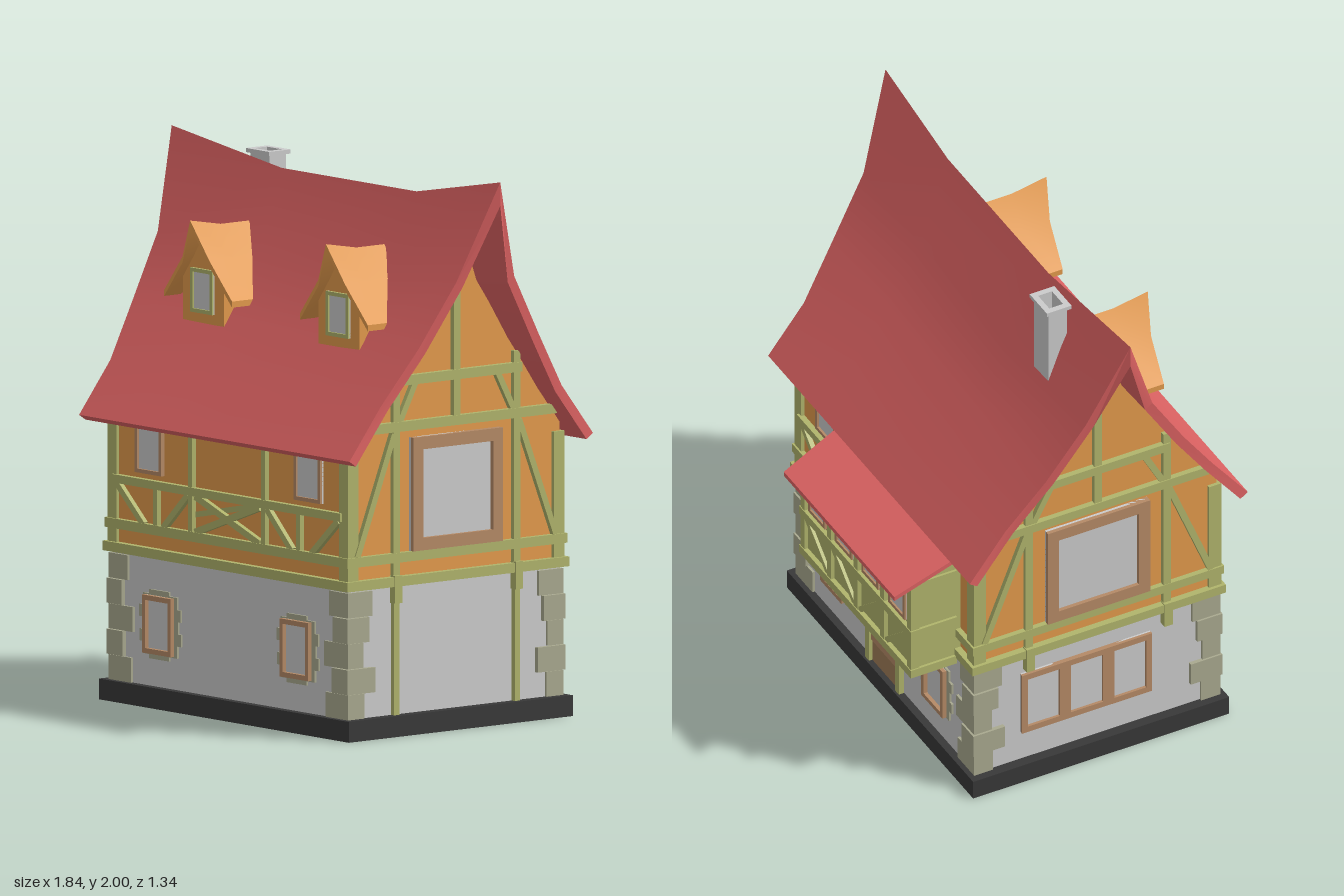
import * as THREE from 'three';
import { toCreasedNormals } from 'three/addons/utils/BufferGeometryUtils.js';
import { ConvexGeometry } from 'three/addons/geometries/ConvexGeometry.js';

const mat = (color, extra = {}) => new THREE.MeshStandardMaterial({ color, ...extra });
const M = {
  grey: mat(0xcccccc), roof: mat(0xe06464), plaster: mat(0xe39a4c), timber: mat(0xb0b46c),
  quoin: mat(0xa9a98f), frame: mat(0xb58a66), door: mat(0xa07c58), base: mat(0x383838),
  dormerRoof: mat(0xe39a4c, { side: THREE.DoubleSide }),
};

function add(parent, name, geometry, material) {
  const m = new THREE.Mesh(geometry, material);
  m.name = name;
  parent.add(m);
  return m;
}

// Box given by its limits on each axis
function block(parent, name, material, x0, x1, y0, y1, z0, z1) {
  const m = add(parent, name, new THREE.BoxGeometry(Math.abs(x1 - x0), y1 - y0, z1 - z0), material);
  m.position.set((x0 + x1) / 2, (y0 + y1) / 2, (z0 + z1) / 2);
  return m;
}

// Timber on a wall, from one point to another in the wall plane
function beam(wall, x0, y0, x1, y1, width = 0.03, out = 0.018, name = 'timber') {
  const len = Math.hypot(x1 - x0, y1 - y0);
  const m = add(wall, name, new THREE.BoxGeometry(len, width, out + 0.02), M.timber);
  m.position.set((x0 + x1) / 2, (y0 + y1) / 2, (out - 0.02) / 2);
  m.rotation.z = Math.atan2(y1 - y0, x1 - x0);
}

// Four framing bars around a pane
function windowUnit(wall, cx, y0, y1, w, bar, out = 0.015, material = M.frame) {
  const g = new THREE.Group();
  g.name = 'window';
  wall.add(g);
  const h = w / 2;
  block(g, 'pane', M.grey, cx - h, cx + h, y0, y1, -0.02, out * 0.4);
  for (const s of [-1, 1]) {
    block(g, 'jamb', material, cx + s * h, cx + s * (h - bar), y0, y1, -0.02, out);
    const y = s < 0 ? y0 : y1 - bar;
    block(g, 'rail', material, cx - h + bar, cx + h - bar, y, y + bar, -0.02, out);
  }
}

// Ground-floor window with uneven stones around it
function stoneWindow(wall, cx) {
  const reach = [0.095, 0.115, 0.1, 0.118, 0.096];
  reach.forEach((r, i) => {
    const y = 0.19 + i * 0.044;
    block(wall, 'windowStone', M.quoin, cx - r, cx + reach[4 - i], y, y + 0.044, -0.02, 0.008);
  });
  block(wall, 'windowStone', M.quoin, cx - 0.06, cx + 0.05, 0.175, 0.425, -0.02, 0.008);
  windowUnit(wall, cx, 0.195, 0.405, 0.16, 0.018, 0.025);
}

// Group whose local z points out of a wall
function wallGroup(parent, name, x, z, turn) {
  const g = new THREE.Group();
  g.name = name;
  g.position.set(x, 0, z);
  g.rotation.y = turn;
  parent.add(g);
  return g;
}

// Solid from a (z, y) outline, running along x
function extrudeX(outline, x0, x1) {
  const shape = new THREE.Shape(outline.map(p => new THREE.Vector2(...p)));
  const g = new THREE.ExtrudeGeometry(shape, { depth: x1 - x0, bevelEnabled: false });
  return g.rotateY(-Math.PI / 2).translate(x1, 0, 0);
}

// Swept roof: a closed cross-section repeated at four stations along the ridge
function roofGeometry() {
  const half = [ // distance from ridge, height, half length, sag
    [0, 2, 0.92, 0.085], [0.135, 1.64, 0.835, 0.03], [0.28, 1.41, 0.8, 0.01],
    [0.42, 1.21, 0.757, 0], [0.565, 1.025, 0.757, 0]];
  const inner = half.map(([d, y, w, s], i) => [i ? d - 0.03 : 0, i ? y - 0.02 : y - 0.085, w, s]);
  const across = h => [
    ...h.slice(1).reverse().map(([d, ...r]) => [0.1 + d, ...r]),
    ...h.map(([d, ...r]) => [0.1 - d, ...r])];
  const ring = [...across(half), ...across(inner).reverse()];
  const n = ring.length, stations = [-1, -0.33, 0.49, 1], pos = [], idx = [];
  stations.forEach((t, j) => ring.forEach(([z, y, w, s]) =>
    pos.push(w * t, y - (j === 1 || j === 2 ? s : 0), z)));
  const quad = (a, b, c, d) => idx.push(a, b, c, a, c, d);
  for (let j = 0; j < 3; j++) for (let i = 0; i < n; i++) {
    const k = (i + 1) % n;
    quad(j * n + i, (j + 1) * n + i, (j + 1) * n + k, j * n + k);
  }
  for (let i = 0; i < n / 2 - 1; i++) {
    const o = 3 * n;
    quad(o + i, o + n - 1 - i, o + n - 2 - i, o + i + 1);
    quad(i, i + 1, n - 2 - i, n - 1 - i);
  }
  const g = new THREE.BufferGeometry();
  g.setAttribute('position', new THREE.Float32BufferAttribute(pos, 3));
  g.setIndex(idx);
  return toCreasedNormals(g, 0.5);
}

function dormer(parent, cx) {
  const g = new THREE.Group();
  g.name = 'dormer';
  g.position.x = cx;
  parent.add(g);
  const s = new THREE.Shape([[-0.115, 1.36], [0.115, 1.36], [0.115, 1.53], [0.055, 1.61], [0, 1.69],
    [-0.055, 1.61], [-0.115, 1.53]].map(p => new THREE.Vector2(...p)));
  add(g, 'dormerBody', new THREE.ExtrudeGeometry(s, { depth: 0.2, bevelEnabled: false }), M.plaster)
    .position.z = 0.2;
  const front = wallGroup(g, 'dormerFront', 0, 0.4, 0);
  windowUnit(front, 0, 1.41, 1.57, 0.125, 0.014, 0.012, M.timber);
  // Flared roof: two thin slopes, ridge rising to the front
  const rows = [[-0.19, 1.475, 0.425], [-0.075, 1.61, 0.435], [0, 1.75, 0.462], [0.075, 1.61, 0.435], [0.19, 1.475, 0.425]];
  const pos = [], idx = [];
  for (const lower of [0, 0.022]) for (const [x, y, z] of rows) {
    const ridge = x === 0;
    pos.push(x, y - lower, z, x, y - lower - (ridge ? 0.025 : 0), 0.32, x, y - lower - (ridge ? 0.025 : 0), 0.19);
  }
  for (const b of [0, 15]) for (let i = 0; i < 4; i++) for (let j = 0; j < 2; j++) {
    const a = b + i * 3 + j;
    idx.push(a, a + 3, a + 4, a, a + 4, a + 1);
  }
  for (let i = 0; i < 12; i += 3) idx.push(i, i + 15, i + 18, i, i + 18, i + 3);
  for (const i of [0, 12]) for (const j of [0, 1]) idx.push(i + j, i + j + 1, i + j + 16, i + j, i + j + 16, i + j + 15);
  const geo = new THREE.BufferGeometry();
  geo.setAttribute('position', new THREE.Float32BufferAttribute(pos, 3));
  geo.setIndex(idx);
  add(g, 'dormerRoof', toCreasedNormals(geo, 0.5), M.dormerRoof);
}

export function createModel() {
  const house = new THREE.Group();
  house.name = 'house';

  // Main masses
  block(house, 'base', M.base, -0.7, 0.7, 0, 0.075, -0.42, 0.62);
  block(house, 'groundFloor', M.grey, -0.66, 0.66, 0.07, 0.55, -0.39, 0.59);
  const gable = [[0.49, 0.54], [0.49, 1.07], [0.4, 1.18], [0.26, 1.39], [0.115, 1.61]];
  add(house, 'upperFloor', extrudeX([...gable.map(([d, y]) => [0.1 + d, y]), [0.1, 1.86],
    ...gable.reverse().map(([d, y]) => [0.1 - d, y])], -0.66, 0.66), M.plaster);
  add(house, 'roof', roofGeometry(), M.roof);

  // Floor beams, corner posts and quoins
  block(house, 'floorBeam', M.timber, -0.685, 0.685, 0.54, 0.575, -0.415, 0.615);
  block(house, 'sillBeam', M.timber, -0.68, 0.68, 0.625, 0.66, -0.41, 0.61);
  const long = [0.115, 0.075, 0.125, 0.07, 0.095];
  for (const sx of [-1, 1]) for (const sz of [-1, 1]) {
    const cx = sx * 0.66, cz = 0.1 + sz * 0.49;
    const post = add(house, 'cornerPost', new THREE.BoxGeometry(0.05, 0.46, 0.05), M.timber);
    post.position.set(cx - sx * 0.012, 0.8, cz - sz * 0.012);
    long.forEach((l, i) => {
      const d = long[(i + 1) % 5] * 0.9, out = 0.01 + (i % 2) * 0.006;
      const q = add(house, 'quoin', new THREE.BoxGeometry(l + out, 0.09, d + out), M.quoin);
      q.position.set(cx - sx * (l - out) / 2, 0.12 + i * 0.092, cz - sz * (d - out) / 2);
    });
  }

  // Front wall
  const front = wallGroup(house, 'frontWall', 0, 0.59, 0);
  beam(front, -0.64, 0.805, 0.64, 0.805, 0.03, 0.022);
  beam(front, -0.2, 0.72, 0.2, 0.8, 0.02, 0.001);
  beam(front, -0.18, 0.66, 0.18, 0.79, 0.025);
  beam(front, -0.18, 0.79, 0.18, 0.66, 0.025);
  for (const s of [-1, 1]) {
    beam(front, s * 0.205, 0.65, s * 0.205, 1.04, 0.022);
    beam(front, s * 0.4, 0.65, s * 0.4, 0.8, 0.022);
    beam(front, s * 0.62, 0.79, s * 0.47, 0.655, 0.024);
    beam(front, s * 0.22, 0.79, s * 0.36, 0.655, 0.024);
    windowUnit(front, s * 0.445, 0.84, 1.03, 0.15, 0.014);
    stoneWindow(front, s * 0.385);
  }

  // Back wall with door
  const back = wallGroup(house, 'backWall', 0, -0.39, Math.PI);
  for (const s of [-1, 1]) stoneWindow(back, s * 0.38);
  windowUnit(back, -0.44, 0.84, 1.03, 0.15, 0.014);
  beam(back, -0.64, 0.805, -0.27, 0.805, 0.03, 0.022);
  beam(back, -0.62, 0.79, -0.47, 0.655, 0.024);
  beam(back, -0.29, 0.79, -0.43, 0.655, 0.024);
  block(back, 'door', M.door, -0.1, 0.1, 0.075, 0.46, -0.02, 0.008);
  for (const y of [0.17, 0.36]) block(back, 'doorBatten', M.frame, -0.1, 0.1, y, y + 0.03, 0, 0.014);
  for (const s of [-1, 1]) beam(back, s * 0.112, 0.075, s * 0.112, 0.49, 0.028, 0.022, 'doorPost');
  beam(back, -0.126, 0.477, 0.126, 0.477, 0.03, 0.022, 'doorLintel');

  // Gable walls; world z is mapped to each wall's own x
  for (const s of [-1, 1]) {
    const side = wallGroup(house, 'gableWall', s * 0.66, 0, s * Math.PI / 2);
    const b = (z0, y0, z1, y1, w, o) => beam(side, -s * z0, y0, -s * z1, y1, w, o);
    b(0.55, 1.115, -0.36, 1.115, 0.035, 0.022);
    b(0.39, 1.28, -0.2, 1.28, 0.035, 0.022);
    b(0.1, 1.11, 0.1, 1.83, 0.03);
    for (const m of [-1, 1]) {
      const z = d => 0.1 + m * d;
      b(z(0.28), 0.57, z(0.28), 1.34, 0.03);
      b(z(0.29), 1.09, z(0.46), 0.66, 0.024);
      b(z(0.27), 1.12, z(0.19), 1.27, 0.024);
      b(z(0.28), 0.48, z(0.28), 0.58, 0.034, 0.03);
      if (s > 0) b(z(0.28), 0.075, z(0.28), 0.54, 0.024);
    }
    windowUnit(side, -s * 0.1, 0.66, 1.07, 0.415, 0.045, 0.025);
    if (s < 0) for (const i of [-1, 0, 1]) windowUnit(side, 0.055 + i * 0.175, 0.2, 0.46, 0.178, 0.024, 0.018);
  }

  // Bay over the door
  const bay = wallGroup(house, 'bay', -0.14, -0.58, Math.PI);
  add(house, 'bayBody', extrudeX([[-0.38, 0.52], [-0.38, 1.01], [-0.58, 0.935], [-0.58, 0.52]], -0.55, 0.27), M.timber);
  for (const y of [0.53, 0.705, 0.915]) block(bay, 'bayRail', M.timber, -0.42, 0.42, y - 0.017, y + 0.017, -0.17, 0.018);
  for (let i = 0; i <= 4; i++) beam(bay, -0.4 + i * 0.2, 0.52, -0.4 + i * 0.2, 0.93, 0.03, 0.015);
  for (let i = 0; i < 4; i++) {
    const x = -0.3 + i * 0.2, d = i < 2 ? 0.085 : -0.085;
    windowUnit(bay, x, 0.735, 0.895, 0.125, 0.014, 0.012);
    beam(bay, x - d, 0.69, x + d, 0.545, 0.022, 0.012);
  }
  const slab = [];
  for (const dy of [0, -0.018]) for (const [x, y, z] of [[-0.595, 1.035, -0.39], [0.29, 1.035, -0.39], [0.26, 0.915, -0.67], [-0.57, 0.915, -0.67]])
    slab.push(new THREE.Vector3(x, y + dy, z));
  add(house, 'bayRoof', new ConvexGeometry(slab), M.roof);

  // Dormers and hollow chimney
  for (const s of [-1, 1]) dormer(house, s * 0.38);
  const tube = (name, w, d, y0, y1) => {
    const rect = (T, a, c) => new T([[-a, -c], [a, -c], [a, c], [-a, c]].map(p => new THREE.Vector2(...p)));
    const shape = rect(THREE.Shape, w, d);
    shape.holes.push(rect(THREE.Path, 0.042, 0.028));
    const g = new THREE.ExtrudeGeometry(shape, { depth: y1 - y0, bevelEnabled: false });
    add(house, name, g.rotateX(-Math.PI / 2), M.grey).position.set(-0.49, y0, 0.008);
  };
  tube('chimney', 0.053, 0.038, 1.55, 1.945);
  tube('chimneyCap', 0.065, 0.05, 1.94, 1.955);
  return house;
}
